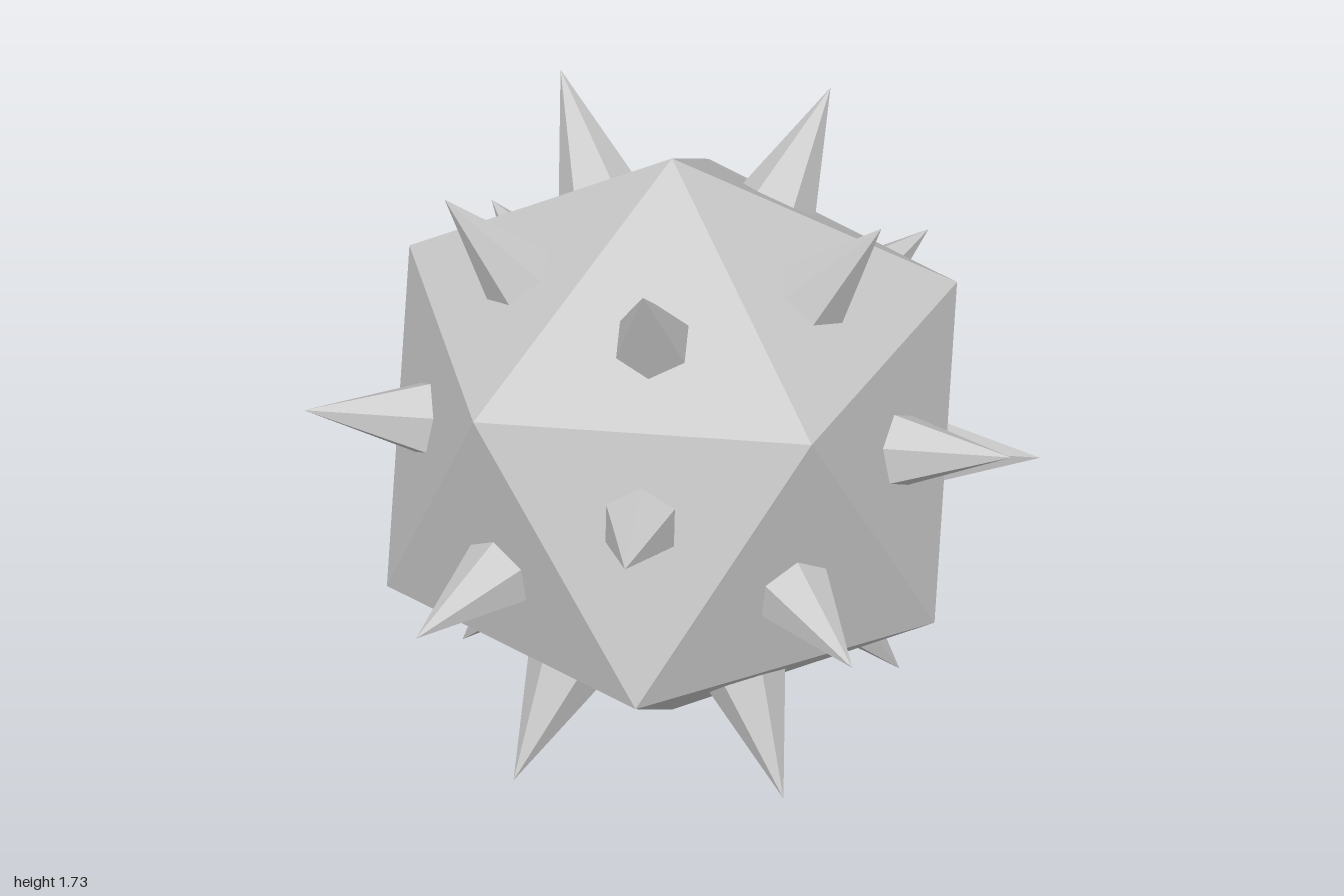
import * as THREE from 'three';
import { ConvexGeometry } from 'three/addons/geometries/ConvexGeometry.js';

const R = 0.866;        // body circumradius
const TIP = 1.018;      // spike tip distance from the centre
const SINK = 0.64;      // spike base distance, just below the face
const BASE_R = 0.122;   // spike radius at that depth

// Point at a given polar angle from +y and azimuth around it (degrees)
function polar(radius, tilt, azimuth) {
  return new THREE.Vector3().setFromSphericalCoords(
    radius, THREE.MathUtils.degToRad(tilt), THREE.MathUtils.degToRad(90 - azimuth));
}

export function createModel() {
  const model = new THREE.Group();
  model.name = 'spikedBall';
  const material = new THREE.MeshStandardMaterial({ color: 0xcccccc, flatShading: true });

  // Body: icosahedron standing on one corner
  const corners = [new THREE.Vector3(0, R, 0), new THREE.Vector3(0, -R, 0)];
  for (let i = 0; i < 5; i++) {
    const upper = polar(R, 63.435, i * 72);
    corners.push(upper, upper.clone().negate());
  }
  const body = new THREE.Mesh(new ConvexGeometry(corners), material);
  body.name = 'body';
  model.add(body);

  // Spikes: six-sided cones, base at the origin, pointing along +z
  const length = TIP - SINK;
  const spikeGeometry = new THREE.ConeGeometry(BASE_R, length, 6);
  spikeGeometry.translate(0, length / 2, 0).rotateX(Math.PI / 2);
  const spikes = new THREE.Group();
  spikes.name = 'spikes';
  model.add(spikes);

  // One spike on each face, mirrored through the centre
  for (const tilt of [37.377, 79.188]) {
    for (let i = 0; i < 5; i++) {
      for (const side of [1, -1]) {
        const spike = new THREE.Mesh(spikeGeometry, material);
        spike.name = 'spike';
        spike.position.copy(polar(SINK * side, tilt, 36 + i * 72));
        spike.lookAt(spike.position.clone().multiplyScalar(2));
        spikes.add(spike);
      }
    }
  }

  body.position.y = spikes.position.y = R;
  return model;
}
